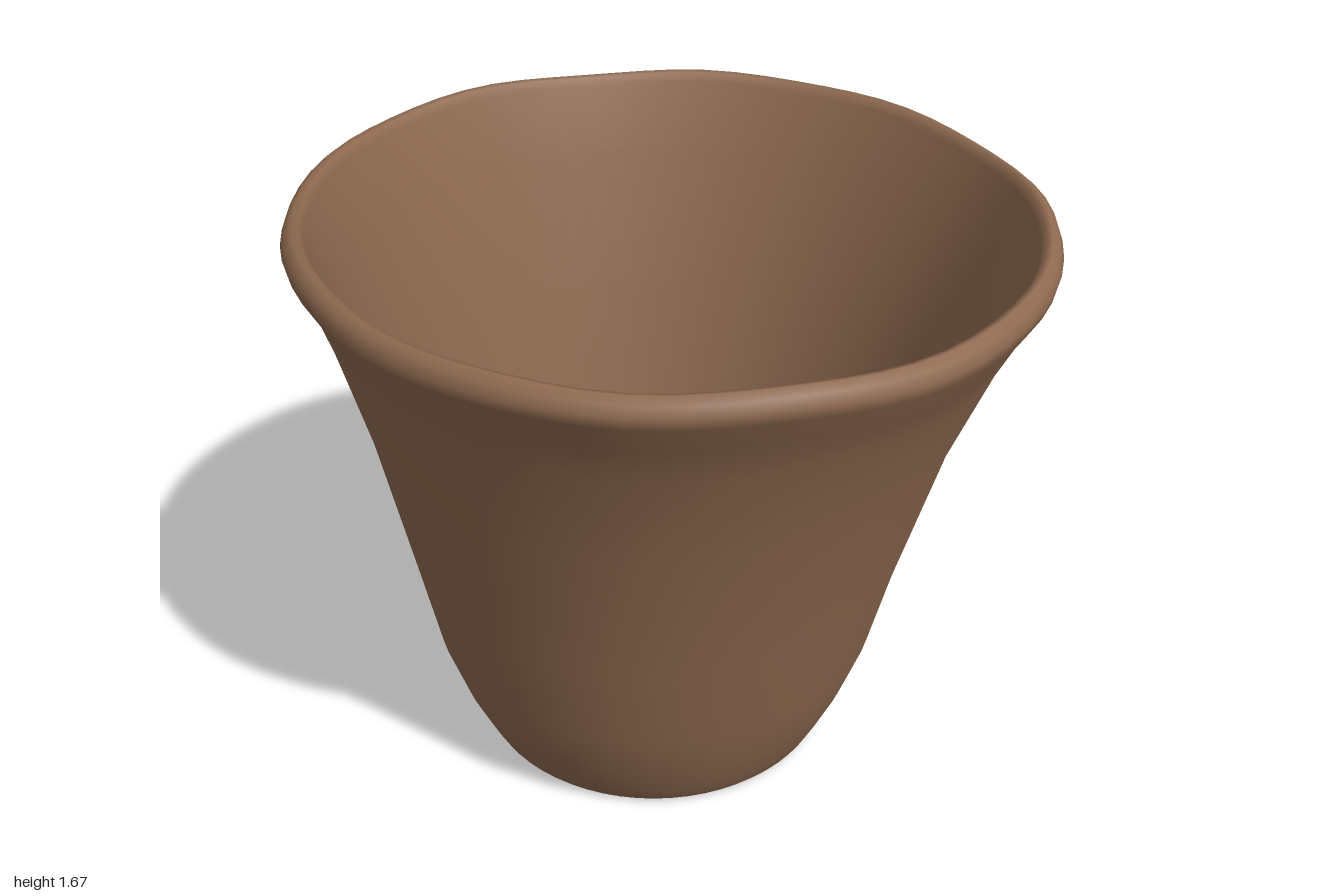
import * as THREE from 'three';

const SIDES = 64;
const { lerp, clamp } = THREE.MathUtils;

// Half profile of the pot as [radius, height], a closed loop around the clay
const PROFILE = [
  // underside, from the drain hole out to the foot
  [0.035, 0.05], [0.06, 0.03], [0.12, 0.018], [0.47, 0.006], [0.497, 0.008], [0.51, 0.022],
  // outer wall
  [0.535, 0.07], [0.585, 0.18], [0.64, 0.34], [0.696, 0.6], [0.8, 1.05], [0.895, 1.36], [0.938, 1.475],
  // rolled rim
  [0.987, 1.56], [0.993, 1.588], [0.982, 1.616], [0.962, 1.632], [0.945, 1.628], [0.933, 1.605],
  // inner wall
  [0.87, 1.43], [0.745, 1.05], [0.64, 0.6], [0.585, 0.34], [0.525, 0.18], [0.485, 0.105],
  // floor, back in to the drain hole
  [0.455, 0.085], [0.12, 0.078], [0.06, 0.07],
];

// Places one point of the pot: the foot sits off centre, the rim tilts and waves slightly
function potPoint(radius, height, angle) {
  const dx = Math.sin(angle);
  const dz = Math.cos(angle);
  const rise = clamp(height / 1.5, 0, 1);
  const axis = -0.05 * (1 - rise ** 2);
  const toHole = clamp((0.45 - radius) / 0.4, 0, 1);
  const cx = lerp(axis, -0.18, toHole);
  const cz = lerp(axis, 0.025, toHole);
  const wave = 0.004 * (Math.sin(5 * angle + 1) + Math.sin(9 * angle));
  const lift = rise ** 4 * (wave - 0.034 * dz - 0.016 * dx);
  return [cx + dx * radius, height + lift, cz + dz * radius];
}

// Lofts the profile around the pot; the last ring joins the first through the drain hole
function potGeometry() {
  const positions = [];
  const indices = [];
  PROFILE.forEach(([radius, height], j) => {
    const row = j * SIDES;
    const next = ((j + 1) % PROFILE.length) * SIDES;
    for (let i = 0; i < SIDES; i++) {
      const k = (i + 1) % SIDES;
      positions.push(...potPoint(radius, height, (i / SIDES) * Math.PI * 2));
      indices.push(row + i, row + k, next + k, row + i, next + k, next + i);
    }
  });
  const geometry = new THREE.BufferGeometry();
  geometry.setAttribute('position', new THREE.Float32BufferAttribute(positions, 3));
  geometry.setIndex(indices);
  geometry.computeVertexNormals();
  return geometry;
}

export function createModel() {
  const group = new THREE.Group();
  group.name = 'flowerPot';

  const clay = new THREE.MeshStandardMaterial({ color: 0x8f6a50 });
  clay.name = 'brown clay';

  // One continuous clay skin: foot, wall, rim, inside and drain hole
  const pot = new THREE.Mesh(potGeometry(), clay);
  pot.name = 'potBody';
  group.add(pot);
  return group;
}
